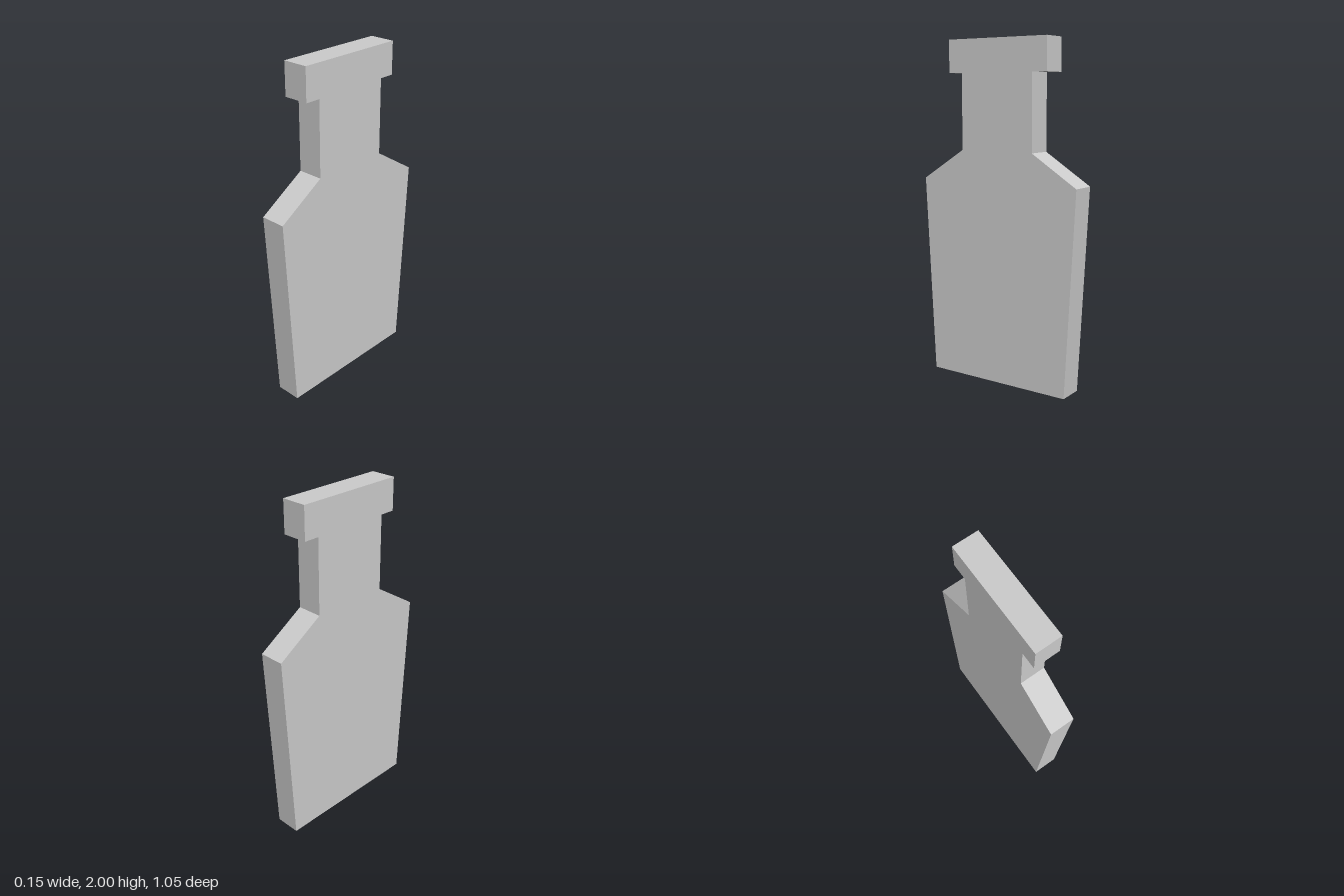
import * as THREE from 'three';

export function createModel() {
  const group = new THREE.Group();
  group.name = 'flatBottle';

  // Half outline (half width, height) from base to cap, mirrored for the other side
  const half = [
    [0.46, 0], [0.523, 1.188], // tapered body
    [0.24, 1.367], [0.24, 1.81], // shoulder and neck
    [0.332, 1.81], [0.332, 2], // cap
  ];
  const mirrored = half.map(([w, y]) => [-w, y]).reverse();
  const outline = new THREE.Shape([...half, ...mirrored].map(([w, y]) => new THREE.Vector2(w, y)));

  // Flat slab, turned so that its width runs along z
  const thickness = 0.152;
  const geometry = new THREE.ExtrudeGeometry(outline, { depth: thickness, bevelEnabled: false });
  geometry.translate(0, 0, -thickness / 2);
  geometry.rotateY(-Math.PI / 2);

  const material = new THREE.MeshStandardMaterial({ color: 0xcccccc, flatShading: true });
  const bottle = new THREE.Mesh(geometry, material);
  bottle.name = 'bottleSilhouette';
  group.add(bottle);
  return group;
}
